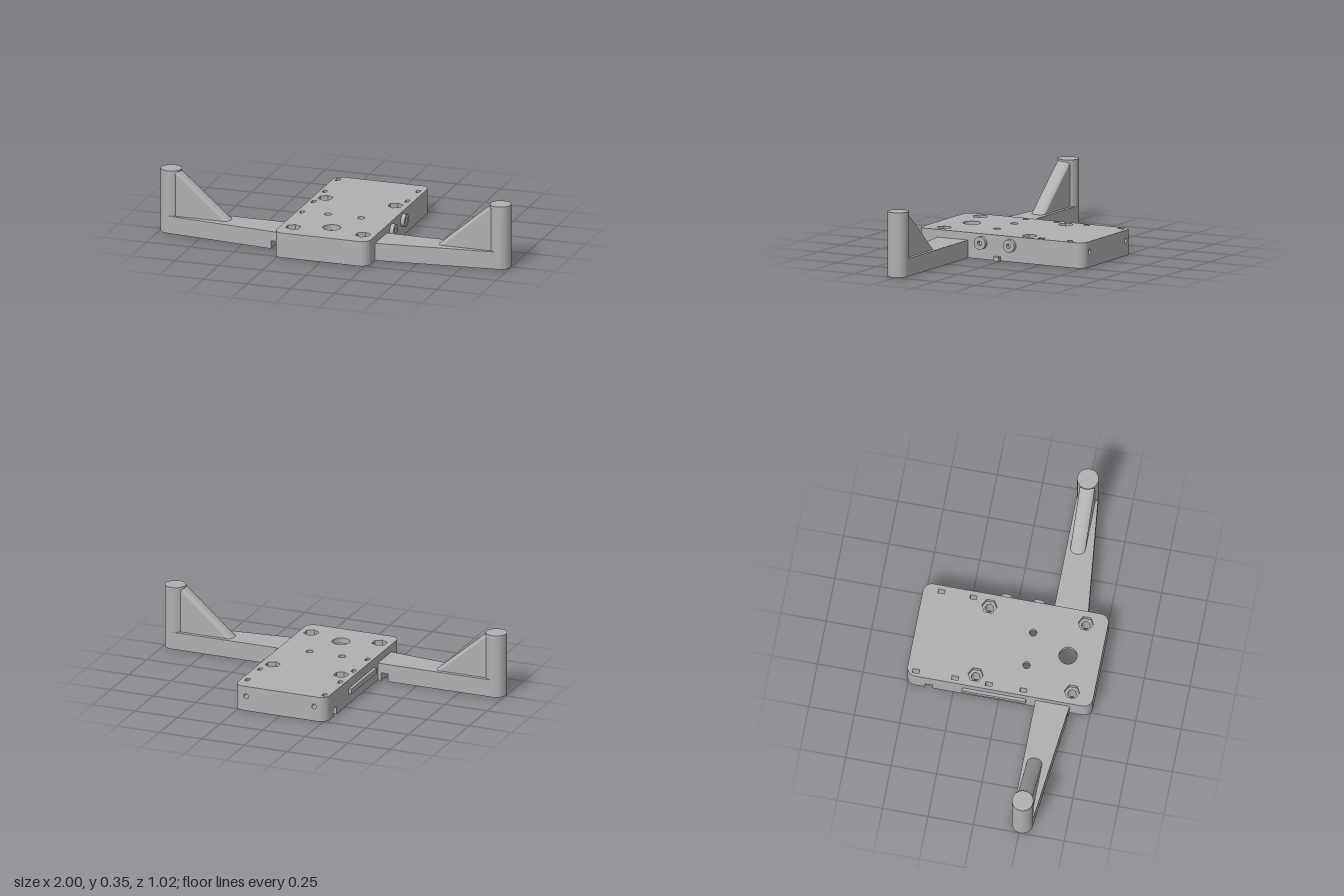
import * as THREE from 'three';
import { toCreasedNormals } from 'three/addons/utils/BufferGeometryUtils.js';

const grey = new THREE.MeshStandardMaterial({ color: 0xb0b0b0 });

function createModel() {
  const model = new THREE.Group();
  const add = (name, geo, parent = model) => {
    const mesh = new THREE.Mesh(toCreasedNormals(geo, 0.6), grey);
    mesh.name = name;
    parent.add(mesh);
    return mesh;
  };
  const extrude = (shape, depth) =>
    new THREE.ExtrudeGeometry(shape, { depth, bevelEnabled: false, curveSegments: 16 });
  // Plan shapes are drawn in (x, z) and fill the heights y0 to y1
  const slab = (shape, y0, y1) => extrude(shape, y1 - y0).rotateX(Math.PI / 2).translate(0, y1, 0);
  const poly = (pts) => new THREE.Shape(pts.map(([x, y]) => new THREE.Vector2(x, y)));
  const rect = (x, z, w, d) =>
    poly([[x - w / 2, z - d / 2], [x + w / 2, z - d / 2], [x + w / 2, z + d / 2], [x - w / 2, z + d / 2]]);
  const circle = (x, z, r) => new THREE.Shape().absarc(x, z, r, 0, Math.PI * 2);
  const hexagon = (x, z, r) => poly([0, 1, 2, 3, 4, 5].map((i) => {
    const a = Math.PI / 6 + i * Math.PI / 3;
    return [x + r * Math.cos(a), z + r * Math.sin(a)];
  }));

  // ---- Body: three stacked layers around an underside bay ----
  const W = 0.27, L = 0.51, R = 0.05, H = 0.14, ROOF = 0.11;
  const bay = { x: 0.16, z0: -0.44, z1: 0.42 };
  const notch = { z0: -0.405, z1: -0.365, h: 0.045 };
  const bolts = [[-0.2, -0.14], [0.2, -0.14], [-0.2, 0.39], [0.2, 0.39]];
  const slots = [[-0.24, -0.46], [-0.24, -0.245], [-0.24, -0.06], [-0.24, 0.13],
    [0.235, -0.41], [0.235, -0.235]];

  // Rounded outline, stepped in at the back where the drilled end block sits
  const outline = (withNotch) => {
    const s = new THREE.Shape();
    s.moveTo(W - R, -L);
    s.absarc(W - R, -L + R, R, -Math.PI / 2, 0);
    s.absarc(W - R, L - R, R, 0, Math.PI / 2);
    s.absarc(-W + R, L - R, R, Math.PI / 2, Math.PI);
    if (withNotch) {
      const { x, z0, z1 } = bay;
      [[-W, notch.z1], [-x, notch.z1], [-x, z1], [x, z1], [x, z0], [-x, z0], [-x, notch.z0], [-W, notch.z0]]
        .forEach(([px, pz]) => s.lineTo(px, pz));
    }
    s.absarc(-W + R, -L + R, R, Math.PI, Math.PI * 1.5);
    s.lineTo(-W + R, -L + R);
    s.lineTo(W - R, -L + R);
    s.closePath();
    slots.forEach(([x, z]) => s.holes.push(rect(x, z, 0.022, 0.036)));
    return s;
  };
  const boltHoles = () => bolts.map(([x, z]) => circle(x, z, 0.023));

  const lower = outline(true);
  lower.holes.push(...boltHoles());
  add('bodyLower', slab(lower, 0, notch.h));

  const middle = outline(false);
  middle.holes.push(...boltHoles(), rect(0, (bay.z0 + bay.z1) / 2, bay.x * 2, bay.z1 - bay.z0));
  add('bodyMiddle', slab(middle, notch.h, ROOF));

  const top = outline(false);
  top.holes.push(...bolts.map(([x, z]) => hexagon(x, z, 0.042)));
  top.holes.push(circle(0, 0.33, 0.049), circle(-0.095, 0.12, 0.02), circle(0.095, 0.12, 0.02));
  add('bodyTop', slab(top, ROOF, H));

  // Back end block with two drilled holes
  const end = rect(0, H / 2, 2 * (W - R), H);
  end.holes.push(circle(-0.2, 0.083, 0.014), circle(0.2, 0.083, 0.014));
  add('backEnd', extrude(end, R).translate(0, 0, -L));

  // Curved sides turn the rear part of the bay into an arched trough
  for (const side of [-1, 1]) {
    const s = new THREE.Shape();
    s.moveTo(side * bay.x, 0);
    s.lineTo(side * bay.x, ROOF);
    s.lineTo(side * 0.04, ROOF);
    s.quadraticCurveTo(side * 0.125, ROOF - 0.005, side * 0.14, 0);
    s.closePath();
    // The notch side starts beyond the cable exit
    const z0 = side < 0 ? notch.z1 : bay.z0;
    add('troughSide', extrude(s, 0.08 - z0).translate(0, 0, z0));
  }

  // ---- Side fittings ----
  for (const z of [0.12, -0.06]) {
    const ring = circle(0, 0, 0.035);
    ring.holes.push(circle(0, 0, 0.013));
    add('sideBoss', extrude(ring, 0.024).rotateY(Math.PI / 2).translate(W - 0.002, 0.09, z));
  }
  add('sideTab', new THREE.BoxGeometry(0.03, 0.024, 0.034).translate(0.277, 0.012, 0.018));
  add('sideRail', new THREE.BoxGeometry(0.03, 0.03, 0.35).translate(-0.272, 0.075, -0.025));

  // ---- Arms with posts and braces ----
  const ARM = 0.098, PX = 0.942, PZ = 0.26, PR = 0.058, PH = 0.355;
  const frontEdge = (x) => 0.39 - (x - W) * 0.108;
  for (const side of [-1, 1]) {
    const arm = new THREE.Group();
    arm.name = side > 0 ? 'leftArm' : 'rightArm';
    model.add(arm);
    const plan = (x0, x1) => poly([[side * x0, PZ - PR], [side * x1, PZ - PR],
      [side * x1, frontEdge(x1)], [side * x0, frontEdge(x0)]]);
    if (side > 0) {
      add('beam', slab(plan(W, PX), 0, ARM), arm);
    } else {
      // Cable gap under the right arm
      add('beamUpper', slab(plan(W, PX), notch.h, ARM), arm);
      add('beamLower', slab(plan(0.33, PX), 0, notch.h), arm);
      add('beamRoot', slab(plan(W, 0.29), 0, notch.h), arm);
    }
    add('post', new THREE.CylinderGeometry(PR, PR, PH, 48).translate(side * PX, PH / 2, PZ), arm);

    // Triangular web, crowned by a flattened round bar along its slope
    const half = 0.041, crown = 0.02;
    const a = new THREE.Vector2(0.573, 0.051), b = new THREE.Vector2(0.903, 0.335);
    add('braceWeb', extrude(poly([[side * a.x, a.y], [side * b.x, b.y], [side * b.x, a.y]]), half * 2)
      .translate(0, 0, 0.265 - half), arm);
    const dir = b.clone().sub(a);
    add('braceBar', new THREE.CylinderGeometry(1, 1, dir.length(), 32)
      .scale(crown, 1, half)
      .rotateZ(-side * Math.atan2(dir.x, dir.y))
      .translate(side * (a.x + b.x) / 2, (a.y + b.y) / 2, 0.265), arm);
  }
  return model;
}

export { createModel };
